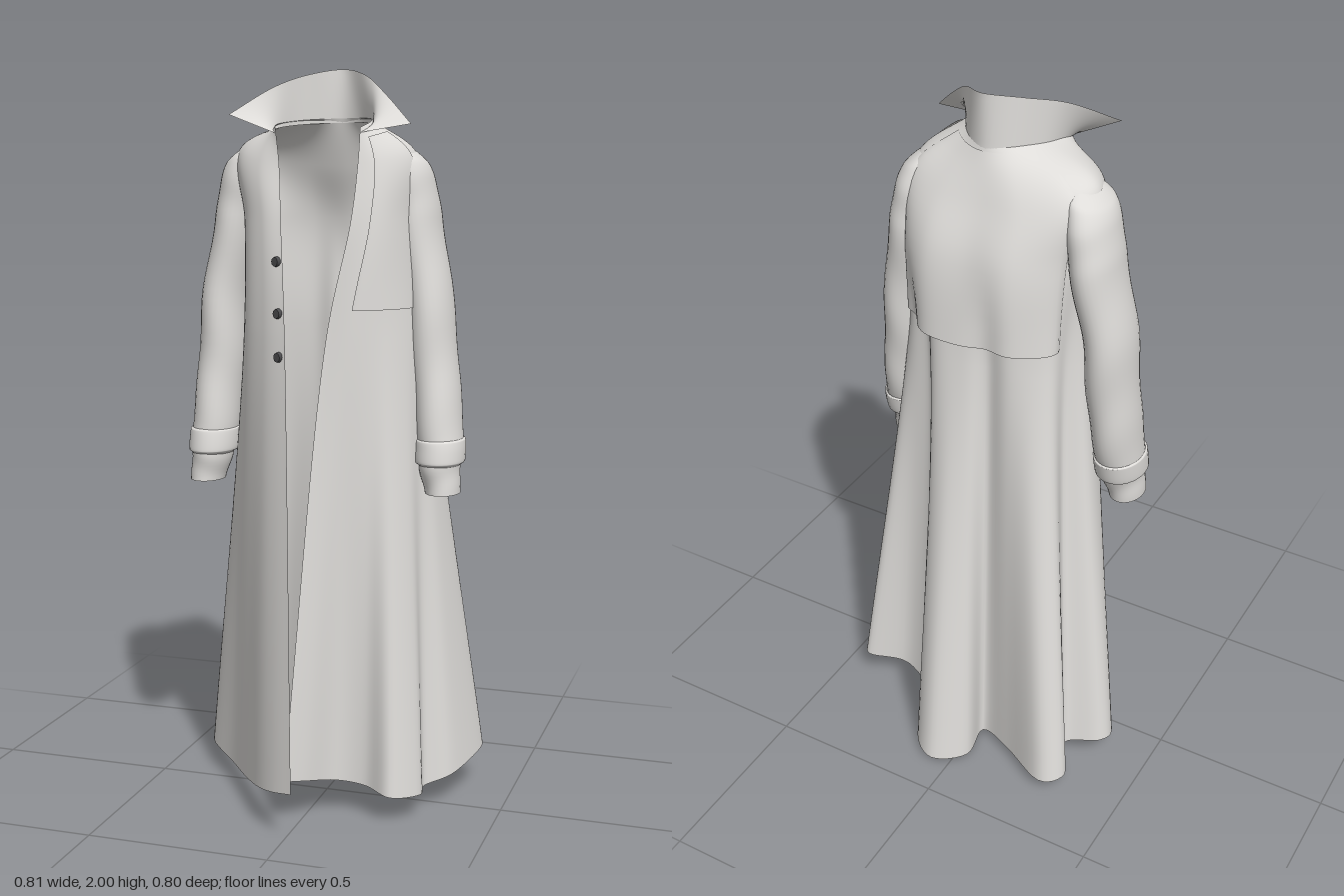
import * as THREE from 'three';
import { mergeVertices } from 'three/addons/utils/BufferGeometryUtils.js';

const V2 = (x, y) => new THREE.Vector2(x, y);
const V3 = (x, y, z) => new THREE.Vector3(x, y, z);

// Plan outlines run from the right front edge, round the back, to the left front edge.
const HEM = [ // x, y, z
  [0.03, 0.14, 0.40], [-0.04, 0.12, 0.35], [-0.105, 0.10, 0.28], [-0.19, 0.07, 0.15], [-0.275, 0.06, 0.03],
  [-0.38, 0.07, -0.09], [-0.375, 0.08, -0.16], [-0.285, 0.07, -0.21], [-0.335, 0.05, -0.30], [-0.275, 0.04, -0.35],
  [-0.13, 0.03, -0.275], [-0.03, 0.02, -0.24], [-0.035, 0.012, -0.34], [0.05, 0.012, -0.403], [0.13, 0.02, -0.35],
  [0.165, 0.04, -0.22], [0.28, 0.08, -0.16], [0.385, 0.11, -0.21], [0.405, 0.11, -0.16], [0.365, 0.09, 0],
  [0.30, 0.07, 0.06], [0.305, 0.07, 0.13], [0.24, 0.08, 0.20], [0.16, 0.09, 0.16], [0.08, 0.10, 0.17],
  [0.02, 0.12, 0.25], [-0.025, 0.13, 0.30]];
const WAIST = [[-0.045, 0.218], [-0.12, 0.175], [-0.205, 0.085], [-0.255, -0.08], [-0.215, -0.185], [-0.11, -0.235],
  [0, -0.24], [0.10, -0.235], [0.20, -0.175], [0.255, -0.10], [0.25, 0], [0.20, 0.09], [0.12, 0.15], [0.05, 0.165]];
const CHEST = [[-0.08, 0.145], [-0.14, 0.125], [-0.21, 0.06], [-0.25, -0.07], [-0.215, -0.17], [-0.11, -0.225],
  [0, -0.215], [0.11, -0.22], [0.20, -0.17], [0.23, -0.10], [0.23, -0.02], [0.20, 0.06], [0.16, 0.11], [0.105, 0.13]];
const SHOULDER = [[-0.10, 0.10], [-0.16, 0.085], [-0.23, 0.03], [-0.27, -0.07], [-0.225, -0.145], [-0.11, -0.18],
  [0, -0.175], [0.10, -0.175], [0.19, -0.145], [0.225, -0.09], [0.225, -0.03], [0.20, 0.03], [0.16, 0.08], [0.115, 0.10]];
const NECK = [[-0.115, 0.085], [-0.125, 0.06], [-0.125, 0.02], [-0.112, -0.035], [-0.085, -0.08], [-0.045, -0.122],
  [0, -0.14], [0.045, -0.122], [0.085, -0.08], [0.112, -0.035], [0.125, 0.01], [0.128, 0.04], [0.122, 0.065], [0.115, 0.08]];

const hemXZ = new THREE.SplineCurve(HEM.map(p => V2(p[0], p[2])));
const hemY = new THREE.SplineCurve(HEM.map((p, i) => V2(i, p[1])));
const [waist, chest, shoulder, neck] = [WAIST, CHEST, SHOULDER, NECK]
  .map(loop => new THREE.SplineCurve(loop.map(p => V2(...p))));

// Back pleats pinch the waist inwards at these hem points
const PLEATS = [7, 11, 15.3];

// Point on the coat body: u runs round it (0..1), t from hem to neck
// (hem 0, waist 0.25, chest 0.5, shoulder 0.75, neck 1).
function bodyPoint(u, t) {
  const at = (curve, y) => { const p = curve.getPoint(u); return V3(p.x, y, p.y); };
  const pinch = PLEATS.reduce((s, c) => s + 0.1 * Math.exp(-(((u * 26 - c) / 0.7) ** 2)), 0);
  const sideways = Math.abs(shoulder.getPoint(u).x) / 0.27;
  return new THREE.CatmullRomCurve3([
    at(hemXZ, hemY.getPoint(u).y),
    at(waist, 1.3).multiply(V3(1 - pinch, 1, 1 - pinch)),
    at(chest, 1.6),
    at(shoulder, 1.74 + 0.045 * sideways * sideways),
    at(neck, 1.84 + 0.03 * Math.sin(Math.PI * u))
  ]).getPoint(t);
}

// Body point pushed outwards from the wearer
function offsetPoint(u, t, d) {
  const p = bodyPoint(u, t);
  return p.add(V3(p.x, 0, p.z + 0.05).setLength(d));
}

// Smooth sheet from a function f(u, v)
function sheet(f, nu, nv) {
  const pos = [], idx = [], w = nu + 1;
  for (let j = 0; j <= nv; j++)
    for (let i = 0; i <= nu; i++) pos.push(...f(i / nu, j / nv).toArray());
  for (let j = 0; j < nv; j++)
    for (let i = 0; i < nu; i++) {
      const a = j * w + i;
      idx.push(a, a + w, a + 1, a + 1, a + w, a + w + 1);
    }
  let g = new THREE.BufferGeometry();
  g.setAttribute('position', new THREE.Float32BufferAttribute(pos, 3));
  g.setIndex(idx);
  g = mergeVertices(g, 1e-5);
  g.computeVertexNormals();
  return g;
}

// Tube of oval rings [x, y, z, rx, rz], side = -1 right, +1 left.
// The first rings lean by tilt, to follow the slope of the shoulder.
function ringTube(rings, side, wrinkle, tilt) {
  const path = new THREE.CatmullRomCurve3(rings.map(r => V3(r[0], r[1], r[2])));
  const size = new THREE.SplineCurve(rings.map(r => V2(r[3], r[4])));
  return sheet((u, v) => {
    const c = path.getPoint(v), r = size.getPoint(v), a = u * Math.PI * 2;
    const k = 1 + wrinkle * Math.sin(v * 45 + 2 * Math.cos(a)) * Math.min(1, v * v * 5);
    const shift = side > 0 ? -0.025 - 0.025 * Math.min(1, Math.max(0, (c.y - 1) / 0.4)) : 0;
    const lean = tilt * Math.max(0, 1 - v * 2) * Math.cos(a) * r.x;
    return V3(side * (c.x + shift + Math.cos(a) * r.x * k), c.y - lean, c.z + Math.sin(a) * r.y * k);
  }, 32, rings.length * 6);
}

export function createModel() {
  const coat = new THREE.Group();
  coat.name = 'longCoat';
  const cloth = new THREE.MeshStandardMaterial({ color: 0xdedcd9, side: THREE.DoubleSide });
  cloth.name = 'greyCloth';
  const dark = new THREE.MeshStandardMaterial({ color: 0x4a4a4c });
  dark.name = 'darkButton';
  const add = (name, geometry, material = cloth) => {
    const mesh = new THREE.Mesh(geometry, material);
    mesh.name = name;
    coat.add(mesh);
    return mesh;
  };

  // Body and skirt in one flowing sheet
  add('coatBody', sheet(bodyPoint, 156, 60));

  // Underlap behind the centre back vent
  add('ventUnderlap', sheet((u, v) =>
    bodyPoint(11 / 26, 0.2 * v).add(V3(0.115, -0.02, 0.08).multiplyScalar(u * (1 - v))), 8, 16));

  // Loose layers over the body: u range in hem points, t range, base offset and flare at the bottom
  const layer = (name, u0, u1, t0, t1, base, flare) => add(name, sheet((u, v) =>
    offsetPoint((u0 + (u1 - u0) * u) / 26, t0 + (t1 - t0) * v,
      base + flare * (1 - v) * Math.sqrt(Math.sin(Math.PI * u))), 40, 18));
  layer('backCape', 7.6, 16.6, 0.3, 0.97, 0.003, 0.034);
  layer('stormFlap', 20.5, 24.4, 0.3, 0.92, 0.008, 0.006);

  // Upright collar flaring from the neckline to two points
  const collarEdge = new THREE.CatmullRomCurve3([
    V3(-0.23, 1.875, 0.125), V3(-0.145, 1.95, 0.005), V3(-0.08, 1.985, -0.09), V3(0, 2.0, -0.145),
    V3(0.08, 1.98, -0.09), V3(0.155, 1.925, -0.03), V3(0.24, 1.85, 0.04)]);
  add('collar', sheet((u, v) => {
    const foot = offsetPoint(u, 1, 0.003);
    foot.y -= 0.012;
    return foot.lerp(collarEdge.getPoint(u), v);
  }, 48, 8));

  // Sleeves with a turned cuff band
  for (const [side, word] of [[-1, 'right'], [1, 'left']]) {
    add(word + 'Sleeve', ringTube([
      [0.24, 1.798, -0.07, 0.002, 0.002], [0.243, 1.792, -0.07, 0.03, 0.042], [0.252, 1.765, -0.073, 0.054, 0.08],
      [0.266, 1.70, -0.08, 0.061, 0.096], [0.28, 1.60, -0.083, 0.063, 0.099], [0.315, 1.40, -0.07, 0.063, 0.095],
      [0.325, 1.20, -0.055, 0.064, 0.09], [0.337, 1.03, -0.03, 0.062, 0.085], [0.34, 0.95, -0.01, 0.055, 0.075],
      [0.35, 0.88, 0, 0.047, 0.062]], side, 0.025, 0.5));
    add(word + 'CuffBand', ringTube([
      [0.337, 1.025, -0.03, 0.062, 0.084], [0.337, 1.02, -0.028, 0.067, 0.09],
      [0.338, 0.965, -0.015, 0.067, 0.088], [0.339, 0.955, -0.012, 0.056, 0.076]], side, 0, 0));
  }

  // Buttons down the right front edge
  for (const t of [0.4, 0.293, 0.236]) {
    const button = add('button', new THREE.CylinderGeometry(0.012, 0.014, 0.01, 16), dark);
    button.position.copy(offsetPoint(0.028, t, 0.003));
    button.rotation.set(Math.PI / 2, 0, 0.5);
  }
  return coat;
}
